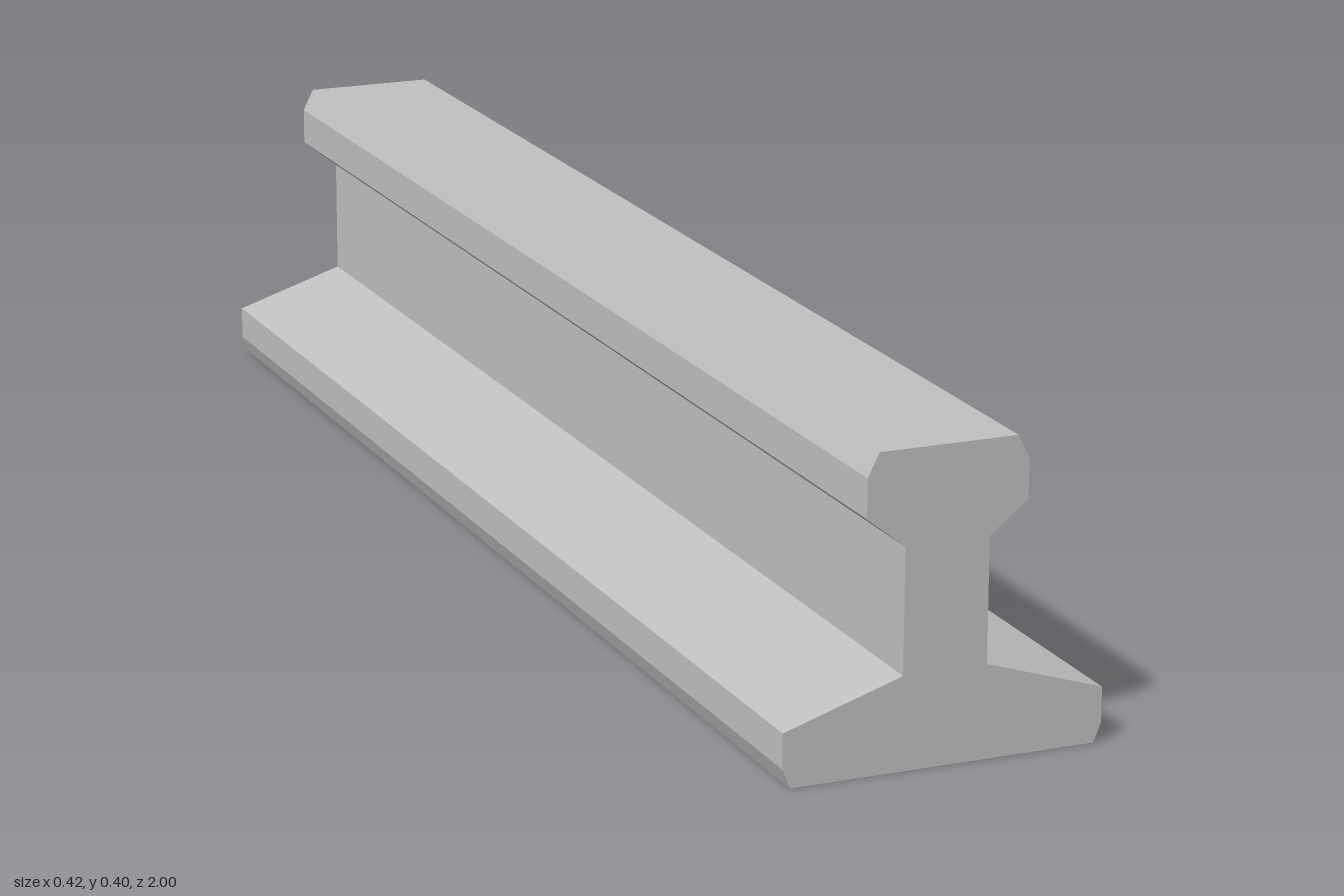
import * as THREE from 'three';

export function createModel() {
  const group = new THREE.Group();
  group.name = 'railSection';

  const steel = new THREE.MeshStandardMaterial({ color: 0xc0c0c0 });
  steel.name = 'steel grey';

  // Right half of the cross-section, from the foot up to the head
  const half = [
    [0.2, 0], [0.21, 0.025], [0.21, 0.07],      // foot
    [0.055, 0.12], [0.055, 0.28],               // web
    [0.105, 0.32], [0.105, 0.37], [0.09, 0.4],  // head
  ];
  const mirrored = half.map(([x, y]) => [-x, y]).reverse();
  const profile = new THREE.Shape([...half, ...mirrored].map(([x, y]) => new THREE.Vector2(x, y)));

  // Sweep the profile along z
  const length = 2;
  const geometry = new THREE.ExtrudeGeometry(profile, { depth: length, bevelEnabled: false });
  geometry.translate(0, 0, -length / 2);

  const rail = new THREE.Mesh(geometry, steel);
  rail.name = 'rail';
  group.add(rail);
  return group;
}
